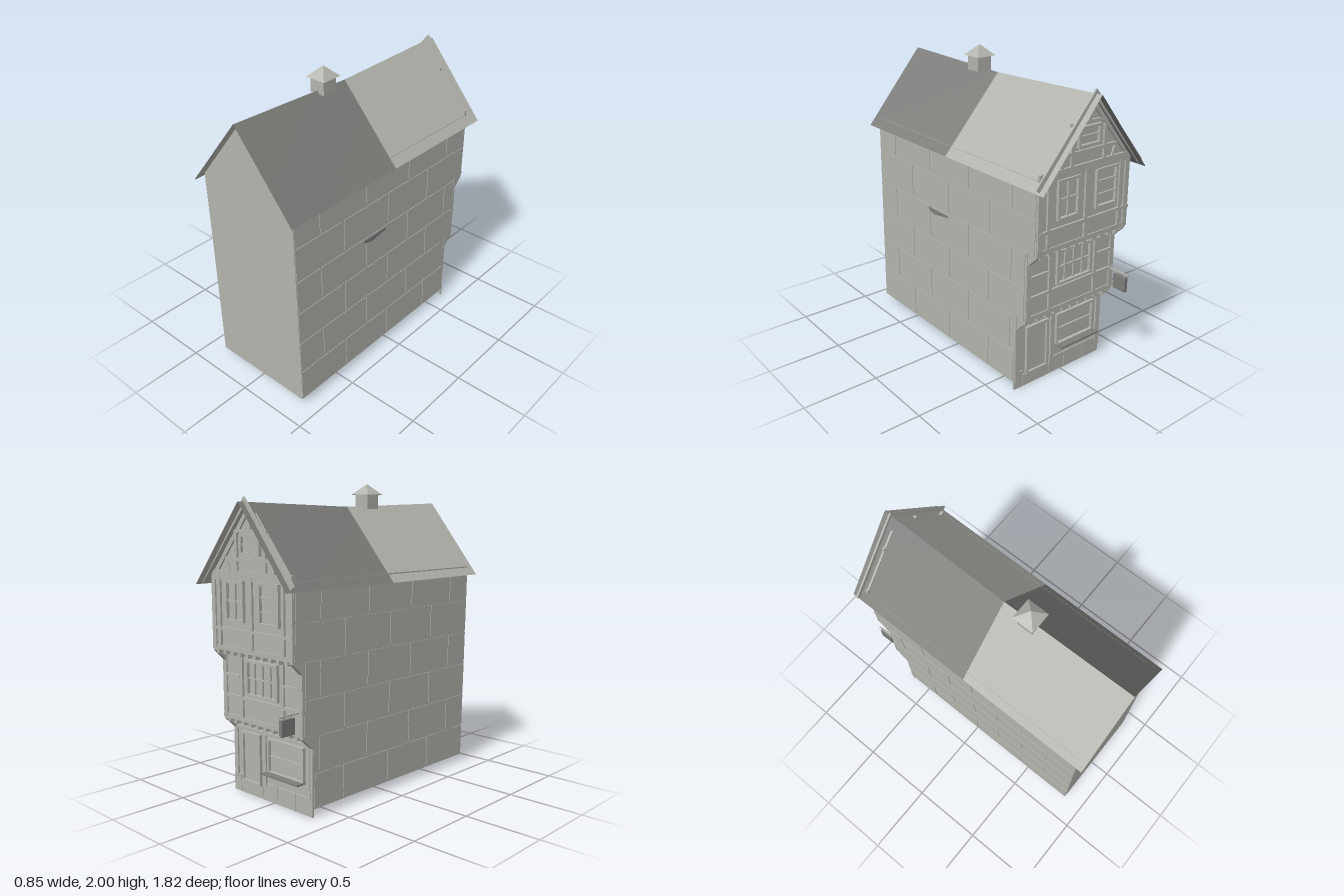
import * as THREE from 'three';

export function createModel() {
  const house = new THREE.Group();
  house.name = 'timberHouse';
  const plaster = new THREE.MeshStandardMaterial({ color: 0xb4b4ae, side: THREE.DoubleSide });
  plaster.name = 'paleGrey';
  const slate = new THREE.MeshStandardMaterial({ color: 0x7d7d7a, side: THREE.DoubleSide });
  slate.name = 'darkGrey';

  const add = (name, geo, mat = plaster, parent = house) => {
    const m = new THREE.Mesh(geo, mat);
    m.name = name;
    parent.add(m);
    return m;
  };
  const group = (name) => {
    const g = new THREE.Group();
    g.name = name;
    house.add(g);
    return g;
  };
  const box = (name, x0, x1, y0, y1, z0, z1, parent, mat) => {
    const m = add(name, new THREE.BoxGeometry(Math.abs(x1 - x0), Math.abs(y1 - y0), Math.abs(z1 - z0)), mat, parent);
    m.position.set((x0 + x1) / 2, (y0 + y1) / 2, (z0 + z1) / 2);
    return m;
  };
  const shape = (pts) => new THREE.Shape(pts.map(([x, y]) => new THREE.Vector2(x, y)));

  // The whole body leans a little: x of each side wall at a given height
  const wallX = (side, y) => (side > 0 ? 0.39 : -0.345) - 0.018 * y;
  const floors = [
    { y0: 0.05, y1: 0.52, z: -0.65 },
    { y0: 0.52, y1: 0.98, z: -0.735 },
    { y0: 0.98, y1: 1.44, z: -0.815 },
  ];

  // Side walls, stepped out at each storey
  const profile = [[0.857, 0.05], [0.86, 1.435], [-0.815, 1.435], [-0.815, 0.98],
    [-0.735, 0.98], [-0.735, 0.52], [-0.65, 0.52], [-0.65, 0.05]];
  for (const side of [-1, 1]) {
    const geo = new THREE.ShapeGeometry(shape(profile));
    const p = geo.attributes.position;
    for (let i = 0; i < p.count; i++) p.setXYZ(i, wallX(side, p.getY(i)), p.getY(i), p.getX(i));
    if (side > 0) geo.index.array.reverse();
    geo.computeVertexNormals();
    add(side > 0 ? 'leftWall' : 'rightWall', geo);
  }

  // Plain gable wall
  const gable = add('plainGableWall', new THREE.ShapeGeometry(shape([
    [wallX(-1, 0.05), 0.05], [wallX(1, 0.05), 0.05], [wallX(1, 1.42), 1.42], [-0.01, 1.87], [wallX(-1, 1.42), 1.42]])));
  gable.position.z = 0.859;

  // Shallow stone blocks in staggered courses
  const rowH = 0.23;
  for (const side of [-1, 1]) {
    const stones = group(side > 0 ? 'leftStones' : 'rightStones');
    for (let r = 0; r < 6; r++) {
      const y = 0.05 + r * rowH + rowH / 2;
      const end = floors[r < 2 ? 0 : r < 4 ? 1 : 2].z + 0.01;
      const len = 0.42;
      for (let z = 0.855 + (r % 2 ? len / 2 : 0); z > end; z -= len) {
        const a = Math.min(z, 0.855), b = Math.max(z - len + 0.014, end);
        if (a - b < 0.04) continue;
        const stone = box('stoneBlock', -0.003, 0.003, -rowH / 2 + 0.008, rowH / 2 - 0.008, a, b, stones);
        stone.position.x = wallX(side, y) + side * 0.001;
        stone.position.y = y;
        stone.rotation.z = 0.018;
      }
    }
  }
  // Loose sliver of slate on the left wall
  const sliver = add('wallLedge', new THREE.ExtrudeGeometry(shape([
    [-0.26, 0.952], [-0.24, 0.93], [-0.18, 0.918], [-0.04, 0.94], [-0.04, 0.952]]), { depth: 0.009, bevelEnabled: false }), slate);
  sliver.rotation.y = Math.PI / 2;
  sliver.position.x = 0.373;

  // Timbered face: storeys, posts, beams, joists and brackets
  const frame = group('timberFrame');
  const T = 0.014;
  const timber = (x0, x1, y0, y1, z, d = T) => box('timber', x0, x1, y0, y1, z + 0.004, z - d, frame);
  const strut = (xa, ya, xb, yb, w, z) => {
    const m = add('brace', new THREE.BoxGeometry(w, Math.hypot(xb - xa, yb - ya), T), plaster, frame);
    m.position.set((xa + xb) / 2, (ya + yb) / 2, z - T / 2 + 0.002);
    m.rotation.z = -Math.atan2(xb - xa, yb - ya);
  };
  floors.forEach((f, i) => {
    const l = (y) => wallX(-1, y), r = (y) => wallX(1, y);
    const wall = add('storeyWall', new THREE.ShapeGeometry(shape([
      [l(f.y0), f.y0], [l(f.y1), f.y1], [r(f.y1), f.y1], [r(f.y0), f.y0]].map(([x, y]) => [-x, y]))));
    wall.rotation.y = Math.PI;
    wall.position.z = f.z;
    for (const s of [-1, 1]) {
      const x = wallX(s, (f.y0 + f.y1) / 2);
      timber(x, x - s * 0.035, f.y0, f.y1, f.z, 0.01);
    }
    timber(l(f.y1), r(f.y1), f.y1 - 0.03, f.y1 - 0.005, f.z, 0.01);
    if (i === 0) return;
    // Overhang below this storey
    const under = floors[i - 1].z;
    box('jettySoffit', l(f.y0), r(f.y0), f.y0 - 0.004, f.y0, under, f.z, frame);
    timber(l(f.y0), r(f.y0), f.y0 - 0.008, f.y0 + 0.022, f.z, 0.008);
    for (let k = 0; k < 10; k++) {
      const x = l(f.y0) + 0.05 + k * 0.07;
      box('joistEnd', x, x + 0.026, f.y0 - 0.035, f.y0, under, f.z - 0.002, frame);
    }
    for (const s of [-1, 1]) {
      const b = add('cornerBracket', new THREE.ExtrudeGeometry(shape([
        [-under, f.y0 - 0.1], [-f.z + 0.002, f.y0 - 0.02], [-f.z + 0.002, f.y0], [-under, f.y0]]),
      { depth: 0.03, bevelEnabled: false }), plaster, frame);
      b.rotation.y = Math.PI / 2;
      b.position.x = s > 0 ? r(f.y0) - 0.03 : l(f.y0);
    }
  });

  // Timbered gable
  const zTop = floors[2].z;
  const front = add('timberedGable', new THREE.ShapeGeometry(shape([[-0.36, 1.435], [0.01, 1.868], [0.37, 1.435]])));
  front.rotation.y = Math.PI;
  front.position.z = zTop;
  timber(-0.37, 0.365, 1.435, 1.468, zTop);
  timber(-0.24, 0.22, 1.53, 1.55, zTop);
  timber(-0.16, 0.14, 1.7, 1.718, zTop);
  timber(-0.02, 0, 1.718, 1.84, zTop);
  for (const s of [-1, 1]) {
    strut(-0.01 + s * 0.345, 1.44, -0.01 + s * 0.01, 1.838, 0.028, zTop);
    timber(-0.01 + s * 0.12, -0.01 + s * 0.14, 1.468, 1.68, zTop);
    strut(-0.01 + s * 0.2, 1.468, -0.01 + s * 0.23, 1.54, 0.018, zTop);
  }

  // Upper and middle storey timbers
  timber(-0.02, 0.005, 1.0, 1.44, zTop);
  timber(-0.37, 0.36, 1.1, 1.118, zTop);
  for (const x of [-0.3, 0.28]) timber(x, x + 0.02, 1.0, 1.44, zTop);
  const zMid = floors[1].z;
  for (const x of [-0.2, 0.18]) timber(x, x + 0.022, 0.54, 0.96, zMid);
  timber(-0.35, 0.37, 0.655, 0.675, zMid);
  for (const s of [-1, 1]) timber(0.01 + s * 0.2, 0.01 + s * 0.34, 0.79, 0.808, zMid);

  // Ground storey timbers and stone plinth
  const zLow = floors[0].z;
  timber(0.07, 0.095, 0.1, 0.5, zLow);
  timber(-0.34, 0.37, 0.43, 0.45, zLow);
  timber(-0.33, -0.31, 0.1, 0.5, zLow);
  const plinth = group('plinth');
  const joints = [-0.347, -0.2, -0.03, 0.1, 0.32, 0.393];
  for (let i = 0; i < 5; i++) {
    box('plinthStone', joints[i] + 0.002, joints[i + 1] - 0.002, 0, i === 3 ? 0.08 : 0.115, zLow, zLow - 0.008, plinth);
  }
  box('plinthBase', -0.347, 0.393, 0, 0.055, zLow + 0.004, zLow - 0.004, plinth);

  // Framed openings with glazing bars
  const opening = (name, x0, x1, y0, y1, z, cols, rows) => {
    const g = group(name);
    const t = 0.016;
    const bar = (a, b, c, d, k) => box('frameBar', a, b, c, d, z + 0.002, z - k, g);
    bar(x0, x1, y0, y0 + t, 0.022);
    bar(x0, x1, y1 - t, y1, 0.022);
    bar(x0, x0 + t, y0, y1, 0.02);
    bar(x1 - t, x1, y0, y1, 0.02);
    for (let i = 1; i < cols; i++) {
      const x = x0 + (x1 - x0) * i / cols;
      bar(x - 0.005, x + 0.005, y0, y1, 0.012);
    }
    for (let i = 1; i < rows; i++) {
      const y = y0 + (y1 - y0) * i / rows;
      bar(x0, x1, y - 0.005, y + 0.005, 0.012);
    }
  };
  opening('upperLeftWindow', 0.055, 0.225, 1.16, 1.41, zTop, 2, 2);
  opening('upperRightWindow', -0.26, -0.08, 1.16, 1.41, zTop, 1, 3);
  opening('gableWindow', -0.1, 0.08, 1.565, 1.69, zTop, 1, 2);
  opening('middleWindow', -0.15, 0.14, 0.69, 0.92, zMid, 4, 2);
  opening('shopWindow', -0.28, 0.05, 0.19, 0.42, zLow, 1, 2);
  opening('doorFrame', 0.12, 0.3, 0.08, 0.42, zLow, 1, 1);
  box('door', 0.136, 0.284, 0.08, 0.404, zLow, zLow - 0.006);
  box('shopShelf', -0.28, 0.05, 0.192, 0.202, zLow, -0.72, house, slate);

  // Hanging sign
  const sign = group('hangingSign');
  box('signArm', -0.335, -0.325, 0.658, 0.668, zMid, -0.905, sign);
  box('signBoard', -0.342, -0.318, 0.545, 0.645, -0.79, -0.89, sign, slate);
  for (const z of [-0.805, -0.875]) box('signHanger', -0.332, -0.328, 0.64, 0.66, z, z - 0.005, sign);

  // Sagging roof in four sheets of two greys
  for (const sx of [-1, 1]) for (const sz of [-1, 1]) {
    const eave = sx * 0.413;
    const geo = new THREE.BufferGeometry();
    geo.setAttribute('position', new THREE.Float32BufferAttribute([
      -0.01, 1.85, 0, -0.01, 1.877, sz * 0.91, eave, 1.377, sz * 0.91, eave, 1.377, 0], 3));
    geo.setIndex(sx * sz > 0 ? [0, 1, 2, 0, 2, 3] : [0, 2, 1, 0, 3, 2]);
    geo.computeVertexNormals();
    add('roofSheet', geo, sx * sz > 0 ? slate : plaster);
  }

  // Gable boards rising just above the roof
  const boards = add('gableBoards', new THREE.ExtrudeGeometry(shape([
    [-0.01, 1.905], [-0.428, 1.41], [-0.402, 1.385], [-0.01, 1.85], [0.398, 1.385], [0.424, 1.41]]),
  { depth: 0.012, bevelEnabled: false }));
  boards.position.z = -0.868;

  // Chimney with pointed cap
  box('chimney', -0.065, 0.042, 1.835, 1.932, 0.138, 0.245);
  const cap = new THREE.ConeGeometry(0.073 * Math.SQRT2, 0.07, 4, 1).toNonIndexed();
  cap.rotateY(Math.PI / 4);
  cap.computeVertexNormals();
  add('chimneyCap', cap).position.set(-0.012, 1.965, 0.19);

  return house;
}
